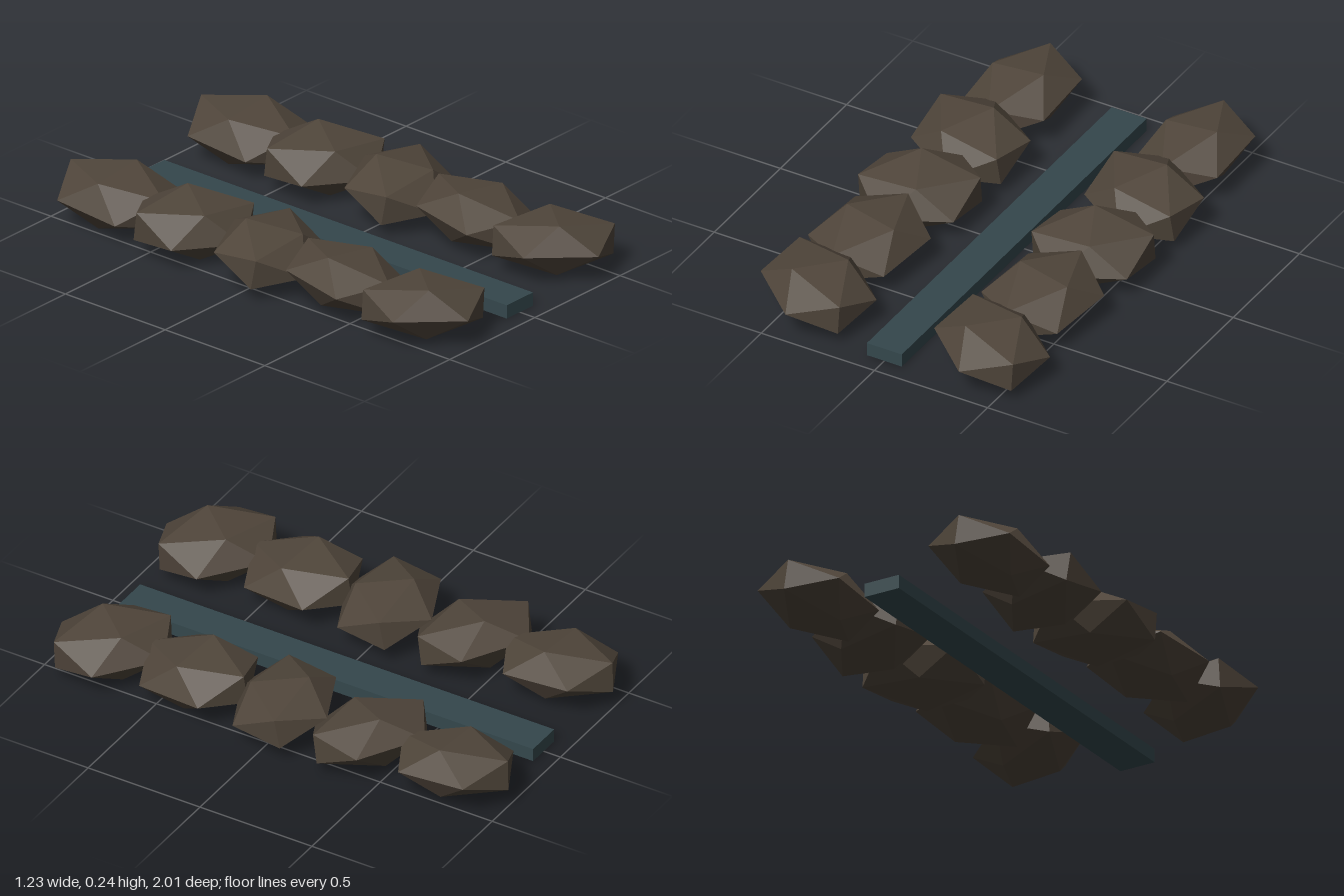
import * as THREE from 'three';

export function createModel() {
  const group = new THREE.Group();
  const stone = new THREE.MeshStandardMaterial({ color: 0x4f453a, flatShading: true });
  stone.name = 'brown stone';
  const slate = new THREE.MeshStandardMaterial({ color: 0x34474c });
  slate.name = 'dark slate blue';

  // Low strip running between the two rows
  const strip = new THREE.Mesh(new THREE.BoxGeometry(0.154, 0.056, 1.85), slate);
  strip.name = 'centreStrip';
  strip.position.y = 0.028;
  group.add(strip);

  // Two identical rows of flattened rocks, each turned one radian further
  const rockGeometry = new THREE.IcosahedronGeometry(1, 0);
  for (const [name, x] of [['rightRockRow', -0.383], ['leftRockRow', 0.383]]) {
    const row = new THREE.Group();
    row.name = name;
    row.position.x = x;
    for (let i = 0; i < 5; i++) {
      const rock = new THREE.Mesh(rockGeometry, stone);
      rock.name = 'rock';
      rock.position.set(0, 0.123, (i - 2) * 0.383);
      rock.rotation.set(0.08, i, 0.1);
      rock.scale.set(0.217, 0.118, 0.276);
      row.add(rock);
    }
    group.add(row);
  }
  return group;
}
